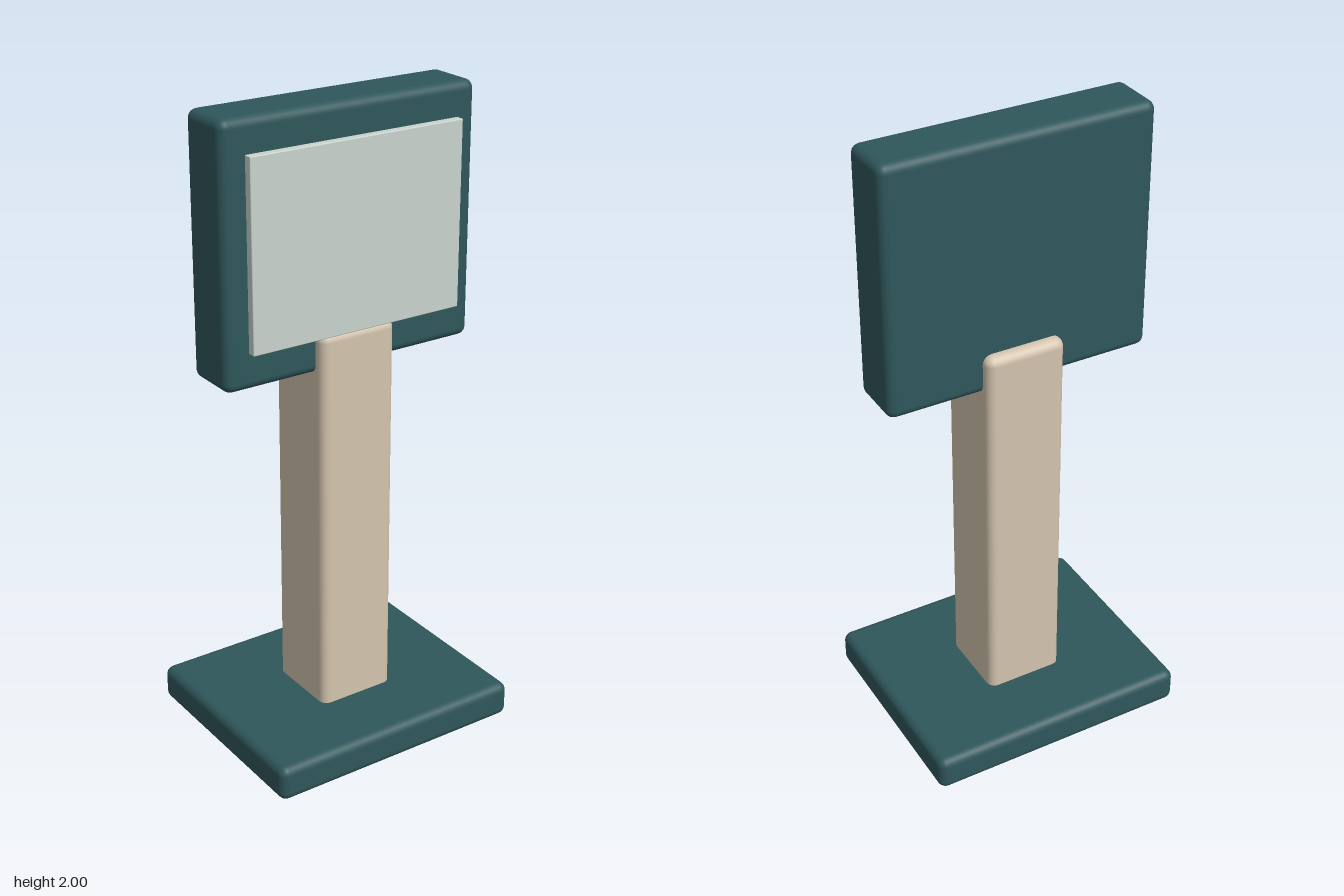
import * as THREE from 'three';
import { RoundedBoxGeometry } from 'three/addons/geometries/RoundedBoxGeometry.js';

const material = (name, color) => {
  const m = new THREE.MeshStandardMaterial({ color });
  m.name = name;
  return m;
};

export function createModel() {
  const group = new THREE.Group();
  group.name = 'displayStand';
  const teal = material('dark teal', 0x2f575b);
  const beige = material('warm beige', 0xd3c4ae);
  const pale = material('pale grey green', 0xc9d3cd);

  // Rounded block given by its size, bottom height and depth position
  const block = (name, mat, [w, h, d], bottom, z, radius) => {
    const mesh = new THREE.Mesh(new RoundedBoxGeometry(w, h, d, 4, radius), mat);
    mesh.name = name;
    mesh.position.set(0, bottom + h / 2, z);
    group.add(mesh);
  };

  // Foot plate and square post
  block('base', teal, [0.854, 0.114, 0.71], 0, 0, 0.028);
  block('post', beige, [0.256, 1.29, 0.256], 0.055, 0, 0.028);

  // Head housing, with the screen panel just in front of it
  block('head', teal, [0.854, 0.782, 0.184], 1.218, -0.001, 0.028);
  block('screen', pale, [0.712, 0.568, 0.027], 1.334, 0.112, 0.003);

  return group;
}
